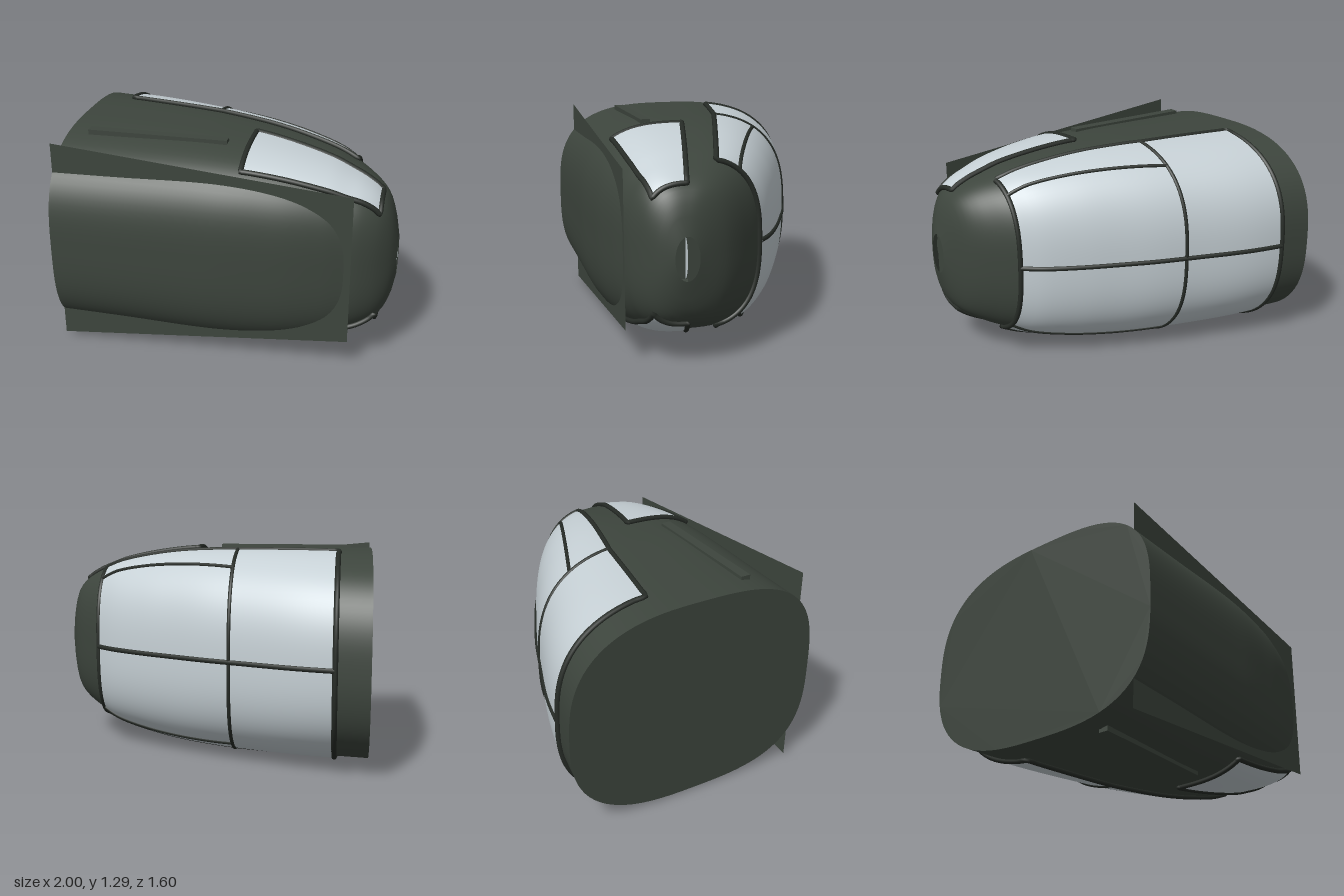
import * as THREE from 'three';
import { mergeVertices } from 'three/addons/utils/BufferGeometryUtils.js';

const MID = 0.655; // height of the hull axis
// hull stations: x, rear z, front z, half height
const STATIONS = [
  [-1, -0.8, 0.8, 0.63], [-0.6, -0.715, 0.8, 0.63], [-0.2, -0.575, 0.8, 0.628],
  [0, -0.5, 0.798, 0.62], [0.2, -0.41, 0.785, 0.605], [0.4, -0.315, 0.765, 0.575],
  [0.6, -0.2, 0.725, 0.53], [0.72, -0.1, 0.69, 0.485], [0.8, -0.02, 0.665, 0.45],
  [0.88, 0.07, 0.62, 0.4], [0.94, 0.16, 0.565, 0.335], [0.98, 0.26, 0.51, 0.23],
  [1, 0.32, 0.46, 0.125],
];

// smooth interpolation of the stations
function slope(i, c) {
  const p = STATIONS[Math.max(i - 1, 0)], q = STATIONS[Math.min(i + 1, STATIONS.length - 1)];
  return (q[c] - p[c]) / (q[0] - p[0]);
}
function station(x, c) {
  let i = 0;
  while (i < STATIONS.length - 2 && x > STATIONS[i + 1][0]) i++;
  const p = STATIONS[i], q = STATIONS[i + 1], d = q[0] - p[0];
  const t = (x - p[0]) / d, t2 = t * t, t3 = t2 * t;
  return p[c] * (2 * t3 - 3 * t2 + 1) + q[c] * (3 * t2 - 2 * t3)
    + d * (slope(i, c) * (t3 - 2 * t2 + t) + slope(i + 1, c) * (t3 - t2));
}
function section(x) {
  const z0 = station(x, 1), z1 = station(x, 2);
  return { zc: (z0 + z1) / 2, a: (z1 - z0) / 2, h: station(x, 3) };
}
// squareness of the section, fading to an ellipse at the tip
function power(x, side) {
  const k = Math.sqrt(Math.min(1, Math.max(0, (1 - x) / 0.1)));
  return 2 + ((side > 0 ? 3.1 : 2.7) - 2) * k;
}
// point on the skin at angle phi (0 = front, PI/2 = top, PI = rear)
function skin(x, phi, off = 0) {
  const { zc, a, h } = section(x), c = Math.cos(phi), s = Math.sin(phi), n = power(x, c);
  const r = (Math.abs(c) ** n + Math.abs(s) ** n) ** (-1 / n);
  return new THREE.Vector3(x, MID + (h + off) * r * s, zc + (a + off) * r * c);
}
// angle of the upper skin point lying at a given z
function angleAt(x, z) {
  const { zc, a } = section(x), u = Math.max(-1, Math.min(1, (z - zc) / a)), n = power(x, u);
  return Math.atan2((1 - Math.abs(u) ** n) ** (1 / n), u);
}
// patch of skin between x0..x1 and the angles lo(x)..hi(x)
function patch(x0, x1, lo, hi, off, nu, nv) {
  let g = new THREE.PlaneGeometry(1, 1, nu, nv);
  const p = g.attributes.position;
  for (let i = 0; i < p.count; i++) {
    const x = x0 + (x1 - x0) * (p.getX(i) + 0.5), v = p.getY(i) + 0.5;
    const q = skin(x, lo(x) + (hi(x) - lo(x)) * v, off);
    p.setXYZ(i, q.x, q.y, q.z);
  }
  g.deleteAttribute('uv');
  g.deleteAttribute('normal');
  g = mergeVertices(g, 1e-5);
  g.computeVertexNormals();
  return g;
}

export function createModel() {
  const group = new THREE.Group();
  const material = (name, color, side = THREE.FrontSide) => {
    const m = new THREE.MeshStandardMaterial({ color, side });
    m.name = name;
    return m;
  };
  const hullPaint = material('hull green', 0x3d453d, THREE.DoubleSide);
  const framePaint = material('frame dark green', 0x272c27);
  const glass = material('glass grey', 0xc6d0d5, THREE.DoubleSide);

  const add = (name, geometry, mat) => {
    const m = new THREE.Mesh(geometry, mat);
    m.name = name;
    group.add(m);
    return m;
  };
  const tube = (name, points, radius, closed = false) => add(name, new THREE.TubeGeometry(
    new THREE.CatmullRomCurve3(points, closed, 'centripetal'), points.length * 2, radius, 8, closed), framePaint);
  // strip along the skin: at(t) gives [x, phi]
  const bar = (name, at, radius = 0.012) => {
    const pts = [];
    for (let i = 0; i <= 30; i++) pts.push(skin(...at(i / 30), 0.012));
    tube(name, pts, radius);
  };
  // glazed panel with a frame around its four edges
  const panel = (name, x0, x1, lo, hi) => {
    add(name + 'Glass', patch(x0, x1, lo, hi, 0.013, 40, 48), glass);
    const pts = [], N = 30, mix = (a, b, t) => a + (b - a) * t;
    const sides = [
      (t) => [mix(x0, x1, t), lo(mix(x0, x1, t))],
      (t) => [x1, mix(lo(x1), hi(x1), t)],
      (t) => [mix(x1, x0, t), hi(mix(x1, x0, t))],
      (t) => [x0, mix(hi(x0), lo(x0), t)],
    ];
    for (const side of sides) for (let i = 0; i < N; i++) pts.push(skin(...side(i / N), 0.009));
    tube(name + 'Frame', pts, 0.016, true);
  };

  // hull skin and flat rear bulkhead
  add('hull', patch(-1, 1, () => 0, () => 2 * Math.PI, 0, 100, 112), hullPaint);
  const outline = [];
  for (let i = 0; i < 112; i++) {
    const q = skin(-1, (i / 112) * 2 * Math.PI);
    outline.push(new THREE.Vector2(q.z, q.y));
  }
  const bulkhead = add('bulkhead', new THREE.ShapeGeometry(new THREE.Shape(outline)), hullPaint);
  bulkhead.rotation.y = -Math.PI / 2;
  bulkhead.position.x = -1;

  // thin flat plate cutting through the front side
  const plate = new THREE.Shape([[-1, 0.03], [0.76, 0.2], [0.76, 1.12], [-1, 1.29]]
    .map(([x, y]) => new THREE.Vector2(x, y)));
  add('sidePlate', new THREE.ShapeGeometry(plate), hullPaint).position.z = 0.69;

  // large rear glazing wrapping from top to bottom
  const edge = (x) => angleAt(x, x < -0.18 ? -0.22 + (x + 0.8) * 0.19 : -0.1 + (x + 0.18) * 0.28);
  panel('canopy', -0.8, 0.715, edge, (x) => 2 * Math.PI - edge(x));
  bar('canopyRib', (t) => [-0.18, edge(-0.18) + t * 2 * (Math.PI - edge(-0.18))]);
  bar('canopySpine', (t) => [-0.8 + t * 1.515, Math.PI], 0.015);
  for (const s of [1, -1]) {
    bar('canopyStringer', (t) => {
      const x = -0.18 + t * 0.895;
      return [x, s * angleAt(x, -0.36 + t * 0.38)];
    });
  }

  // small front windows, upper and lower
  const inner = (x) => angleAt(x, 0.19 + (x - 0.11) * 0.225);
  const outer = (x) => angleAt(x, 0.62 - 0.07 * ((x - 0.11) / 0.79) ** 3);
  panel('upperWindow', 0.11, 0.895, outer, inner);
  panel('lowerWindow', 0.11, 0.895, (x) => -inner(x), (x) => -outer(x));

  // raised rails on top and underside
  for (const s of [1, -1]) {
    add('rail', new THREE.BoxGeometry(0.85, 0.04, 0.06), hullPaint)
      .position.set(-0.445, MID + s * 0.613, 0.39);
  }

  // recessed nose port: half cover, floor and glass pane
  const halfDisc = (w, h) => {
    const s = new THREE.Shape();
    s.absellipse(0, 0, w, h, -Math.PI / 2, Math.PI / 2, false);
    return new THREE.ShapeGeometry(s, 24);
  };
  const cover = add('noseCover', halfDisc(0.07, 0.125), hullPaint);
  cover.rotation.y = Math.PI / 2;
  cover.position.set(1, MID, 0.39);
  const floor = add('nosePortFloor', new THREE.CircleGeometry(0.125, 32), hullPaint);
  floor.rotation.y = Math.PI / 2;
  floor.position.set(0.945, MID, 0.39);
  add('nosePortGlass', halfDisc(0.07, 0.125), glass).position.set(0.93, MID, 0.39);

  return group;
}
